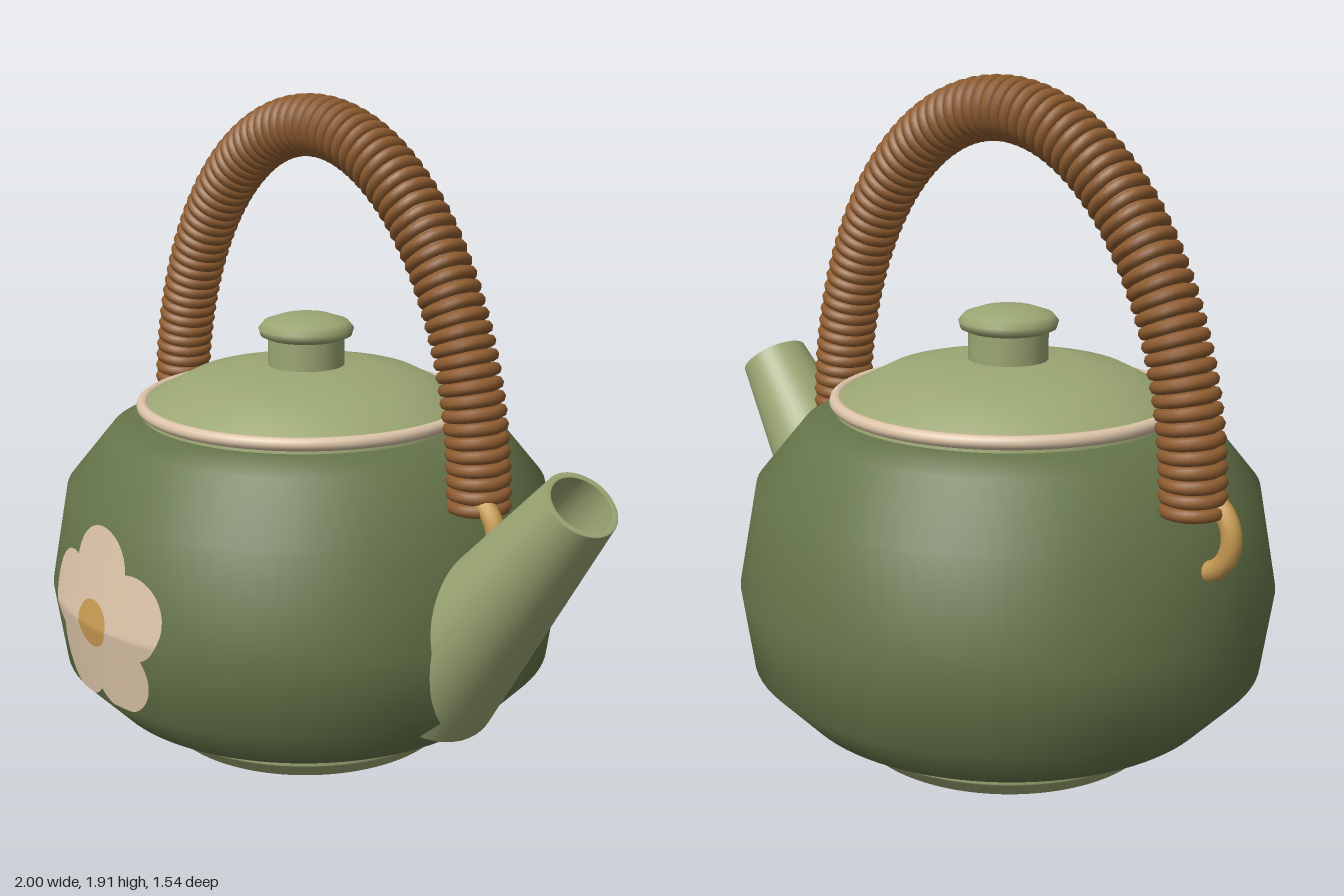
import * as THREE from 'three';

const mat = (name, color) => {
  const m = new THREE.MeshStandardMaterial({ color });
  m.name = name;
  return m;
};

const CX = -0.167; // axis of the pot

// Pot wall profile: [radius, height]
const BODY = [[0.48, 0.105], [0.61, 0.13], [0.735, 0.26], [0.768, 0.49], [0.715, 0.78], [0.58, 0.945], [0.49, 0.985]];

const bodyRadius = (y) => {
  for (let i = 1; i < BODY.length; i++) {
    const [r0, y0] = BODY[i - 1], [r1, y1] = BODY[i];
    if (y <= y1) return r0 + (r1 - r0) * (y - y0) / (y1 - y0);
  }
  return BODY[BODY.length - 1][0];
};

const lathe = (pts, segments = 96) =>
  new THREE.LatheGeometry(pts.map(([r, y]) => new THREE.Vector2(r, y)), segments);

// Polar patch laid on the pot's front wall; outline(angle) gives its radius
function wallPatch(outline, cy, lift, minY, spokes, rings) {
  const pos = [], idx = [];
  for (let j = 0; j <= rings; j++) {
    for (let i = 0; i <= spokes; i++) {
      const a = (i / spokes) * Math.PI * 2;
      const d = outline(a) * j / rings;
      const x = d * Math.cos(a), y = Math.max(minY, cy + d * Math.sin(a));
      const r = bodyRadius(y) + lift;
      pos.push(x, y, Math.sqrt(r * r - x * x));
      if (j < rings && i < spokes) {
        const p = j * (spokes + 1) + i, q = p + spokes + 1;
        idx.push(p, q, q + 1);
        if (j > 0) idx.push(p, q + 1, p + 1);
      }
    }
  }
  const g = new THREE.BufferGeometry();
  g.setAttribute('position', new THREE.Float32BufferAttribute(pos, 3));
  g.setIndex(idx);
  g.computeVertexNormals();
  return g;
}

export function createModel() {
  const darkGreen = mat('dark green glaze', 0x66754a);
  const lightGreen = mat('light green glaze', 0x9ba673);
  const cream = mat('cream trim', 0xdcc4a8);
  const brown = mat('brown wicker', 0x8e5c30);
  const tan = mat('tan cane', 0xc89b52);

  const model = new THREE.Group();
  model.name = 'teapot';
  const add = (name, geometry, material, x = CX, y = 0, z = 0, parent = model) => {
    const mesh = new THREE.Mesh(geometry, material);
    mesh.name = name;
    mesh.position.set(x, y, z);
    parent.add(mesh);
    return mesh;
  };

  // Pot
  add('body', lathe([[0, 0.105], ...BODY, [0, 0.99]]), darkGreen);
  add('foot', lathe([[0, 0], [0.425, 0], [0.43, 0.003], [0.484, 0.055], [0.485, 0.06], [0.485, 0.12]]), lightGreen);

  // Lid with rim and knob
  add('lid', lathe([[0.49, 0.985], [0.485, 1.02], [0.345, 1.092], [0.2, 1.122], [0, 1.13]]), lightGreen);
  add('lidRim', new THREE.TorusGeometry(0.486, 0.019, 10, 96).rotateX(Math.PI / 2), cream, CX, 1.012);
  add('knobStem', new THREE.CylinderGeometry(0.113, 0.113, 0.11, 48), lightGreen, CX, 1.16);
  add('knobCap', lathe([[0, 1.195], [0.1, 1.2], [0.135, 1.215], [0.141, 1.235],
    [0.125, 1.255], [0.075, 1.272], [0, 1.276]], 48), lightGreen);

  // Spout: hollow tapered cone leaning out from the wall
  const spout = add('spout', lathe([[0, 0], [0.198, 0], [0.2, 0.002], [0.102, 0.847], [0.1, 0.849],
    [0.086, 0.849], [0.084, 0.847], [0.12, 0.45], [0, 0.45]], 48), lightGreen, 0.39, 0.3);
  spout.rotation.z = -Math.atan2(0.54, 0.655);
  spout.scale.z = 1.06;

  // Flower painted on the front
  const petalOutline = (a) => {
    const step = Math.PI * 2 / 5;
    let t = (a - Math.PI / 2) % step;
    if (t < 0) t += step;
    if (t > step / 2) t -= step;
    const dist = 0.152, r = 0.12;
    return dist * Math.cos(t) + Math.sqrt(r * r - (dist * Math.sin(t)) ** 2);
  };
  add('flowerPetals', wallPatch(petalOutline, 0.5, 0.004, 0.265, 120, 20), cream);
  add('flowerCentre', wallPatch(() => 0.068, 0.5, 0.008, 0, 40, 6), tan);

  // Arched handle wrapped with wicker rings
  const handle = new THREE.Group();
  handle.name = 'handle';
  model.add(handle);
  const archPoints = [];
  for (let i = 0; i <= 40; i++) {
    const a = Math.PI * (1 - i / 40);
    archPoints.push(new THREE.Vector3(CX + 0.7 * Math.cos(a), 0.85 + 0.972 * Math.sin(a), -0.033));
  }
  const arch = new THREE.CatmullRomCurve3(archPoints);
  add('handleCore', new THREE.TubeGeometry(arch, 80, 0.064, 14), brown, 0, 0, 0, handle);
  const ringGeometry = new THREE.TorusGeometry(0.072, 0.018, 8, 28);
  const forward = new THREE.Vector3(0, 0, 1);
  const RINGS = 74;
  for (let i = 0; i < RINGS; i++) {
    const u = i / (RINGS - 1);
    const p = arch.getPointAt(u);
    const ring = add('wickerRing', ringGeometry, brown, p.x, p.y, p.z, handle);
    ring.quaternion.setFromUnitVectors(forward, arch.getTangentAt(u));
  }

  // Cane loops joining the handle to the pot
  for (const side of [-1, 1]) {
    add(side < 0 ? 'rightLoop' : 'leftLoop', new THREE.TorusGeometry(0.103, 0.028, 12, 40), tan,
      CX + side * 0.699, 0.78);
  }
  return model;
}
